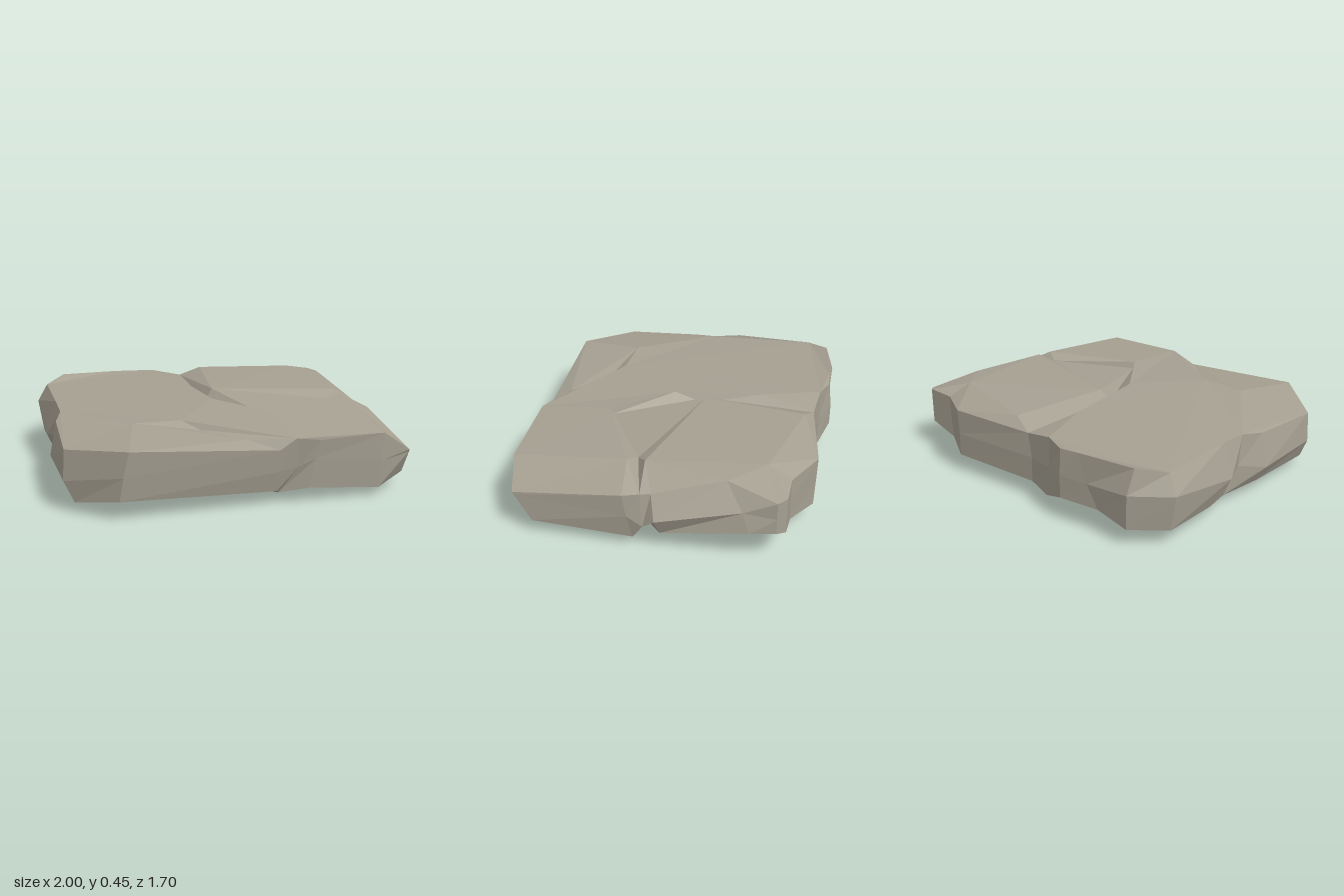
import * as THREE from 'three';

// Three outlines around the slab, counter-clockwise from the front left: x, y, z
const TOP = [
  -.66, .395, .845, .16, .33, .82, .25, .39, .825, .39, .37, .82, .77, .375, .80, .95, .25, .755,
  .965, .33, .13, .94, .335, .04, .93, .34, -.02, .85, .43, -.41, .93, .38, -.69, .89, .39, -.735,
  .71, .39, -.735, .49, .40, -.85, -.03, .39, -.77, -.22, .43, -.79, -.35, .42, -.83, -.47, .43, -.82,
  -.82, .44, -.77, -.94, .41, -.64, -.93, .42, -.17, -.92, .40, 0, -.96, .38, .13, -.965, .355, .59,
];
const MIDDLE = [
  -.69, .25, .83, .16, .20, .80, .28, .22, .79, .37, .26, .805, .765, .21, .79, .952, .235, .745,
  .965, .20, .11, .97, .15, .02, 1, .21, -.05, .94, .30, -.51, .93, .28, -.69, .89, .28, -.735,
  .71, .26, -.735, .49, .25, -.845, -.06, .25, -.775, -.22, .25, -.795, -.36, .27, -.85, -.53, .27, -.82,
  -.81, .30, -.82, -1, .30, -.66, -.99, .22, -.18, -.92, .22, -.03, -1, .18, .13, -.975, .18, .59,
];
const LOW = [
  -.71, .115, .81, .16, .08, .77, .18, .06, .74, .34, .09, .79, .76, .05, .775, .96, .085, .65,
  .95, .06, .08, .75, .06, .08, .95, .11, -.07, .96, .19, -.55, .93, .19, -.69, .89, .18, -.735,
  .70, .13, -.735, .50, .11, -.84, -.05, .10, -.77, -.19, .07, -.79, -.36, .14, -.85, -.60, .14, -.81,
  -.80, .10, -.81, -.97, .10, -.66, -.94, .08, -.30, -.88, .05, -.10, -.94, .08, .13, -.92, .06, .61,
];

const toPoints = (a) => Array.from({ length: a.length / 3 }, (_, i) => new THREE.Vector3().fromArray(a, i * 3));
const v = (x, y, z) => new THREE.Vector3(x, y, z);

function meshFrom(name, triangles, material) {
  const geometry = new THREE.BufferGeometry().setFromPoints(triangles.flat());
  geometry.computeVertexNormals();
  const mesh = new THREE.Mesh(geometry, material);
  mesh.name = name;
  return mesh;
}

// Triangles of an upward-facing polygon
function upward(polygon) {
  const flat = polygon.map((p) => new THREE.Vector2(p.x, p.z));
  if (THREE.ShapeUtils.isClockWise(flat)) { flat.reverse(); polygon = [...polygon].reverse(); }
  return THREE.ShapeUtils.triangulateShape(flat, []).map(([a, b, c]) => {
    const [A, B, C] = [polygon[a], polygon[b], polygon[c]];
    const ny = (B.z - A.z) * (C.x - A.x) - (B.x - A.x) * (C.z - A.z);
    return ny >= 0 ? [A, B, C] : [A, C, B];
  });
}

// Downward-facing fan around a centre point
const downFan = ([centre, ...rim]) => rim.slice(1).map((p, i) => [centre, p, rim[i]]);

// Band of triangles between two outlines
function band(lower, upper) {
  return lower.flatMap((p, i) => {
    const j = (i + 1) % lower.length;
    return [[p, lower[j], upper[j]], [p, upper[j], upper[i]]];
  });
}

export function createModel() {
  const group = new THREE.Group();
  group.name = 'rockSlab';
  const stone = new THREE.MeshStandardMaterial({ color: 0xa6a092, flatShading: true });
  stone.name = 'stone';

  const T = toPoints(TOP), M = toPoints(MIDDLE), L = toPoints(LOW);

  // Crevice: upper lip, floor and the edge of the right-hand layer
  const lipBack = v(-.10, .435, -.45), lipMid = v(-.02, .435, .07), lipTip = v(.24, .425, .405);
  const floor = v(-.02, .38, -.10), edge = v(.03, .445, -.13), tip = v(.24, .385, .39);
  // Right-hand layer and the groove and ridge in front of it
  const ridge = v(.77, .435, .15), groove = v(.69, .40, .11), corner = v(.77, .44, .05);
  const crestBack = v(.10, .445, -.73), crestRight = v(.68, .45, -.60);
  // Chipped shelf at the front
  const chipLeft = v(-.57, .43, .455), chipTop = v(-.30, .43, .46);
  const shelfBack = v(-.21, .39, .54), shelfFront = v(0, .375, .73);

  const parts = {
    upperLayer: [
      [chipLeft, chipTop, lipMid, lipBack, ...T.slice(14, 22)],
      [T[0], chipLeft, T[21], T[22], T[23]],
      [chipTop, T[2], T[3], T[4], ridge, lipTip, lipMid],
      [T[4], T[5], T[6], ridge],
    ],
    frontChip: [
      [T[0], shelfFront, shelfBack, chipLeft], [T[0], T[1], shelfFront],
      [chipLeft, shelfBack, chipTop], [chipTop, shelfBack, T[2]],
      [shelfBack, shelfFront, T[2]], [shelfFront, T[1], T[2]],
    ],
    crevice: [
      [T[14], lipBack, floor], [lipBack, lipMid, floor], [lipMid, lipTip, tip],
      [lipMid, tip, floor], [floor, tip, edge], [T[14], floor, edge],
      [lipTip, ridge, groove], [lipTip, groove, tip], [ridge, T[6], T[7]], [ridge, T[7], groove],
      [groove, T[7], corner],
    ],
    rightLayer: [
      [T[14], edge, crestBack], [T[14], crestBack, T[13]], [crestBack, crestRight, T[13]],
      [T[13], crestRight, T[12]], [edge, tip, groove], [edge, groove, corner], [edge, corner, crestRight],
      [edge, crestRight, crestBack], [corner, T[9], crestRight], [corner, T[7], T[8]],
      [corner, T[8], T[9]], [crestRight, T[9], T[10]], [crestRight, T[10], T[11]],
      [crestRight, T[11], T[12]],
    ],
  };
  for (const [name, polygons] of Object.entries(parts)) {
    group.add(meshFrom(name, polygons.flatMap(upward), stone));
  }

  // Broken sides
  group.add(meshFrom('sides', [...band(M, T), ...band(L, M)], stone));

  // Underside: shallow facets meeting at a few low points, with an undercut at the right
  const lowest = v(.06, 0, .46), middle = v(.14, .03, .11), undercut = v(.76, .04, -.32);
  const backLeft = v(-.26, .04, -.24), backRight = v(.65, .025, -.60);
  const fans = [
    [lowest, ...L.slice(21), ...L.slice(0, 7), middle, L[21]],
    [middle, L[6], L[7], undercut, backLeft, L[20], L[21]],
    [undercut, L[7], L[8], L[9], backLeft],
    [backRight, backLeft, ...L.slice(9, 15), backLeft],
    [backLeft, ...L.slice(14, 21)],
  ];
  group.add(meshFrom('underside', fans.flatMap(downFan), stone));

  return group;
}
